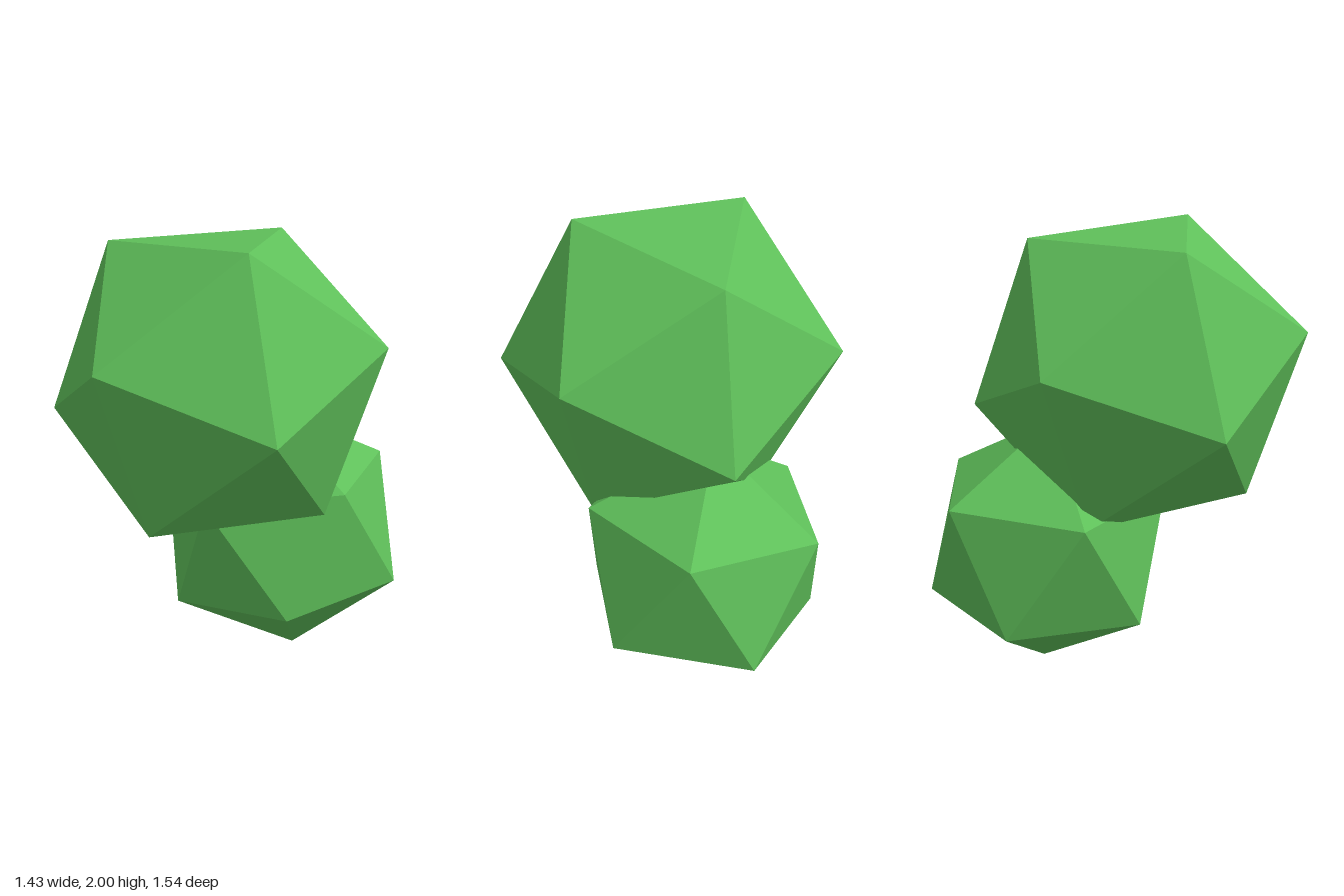
import * as THREE from 'three';

const green = new THREE.MeshStandardMaterial({ color: 0x5fc05a, flatShading: true });

// Regular icosahedron turned so that two neighbouring corners point along a and b
function foliageClump(name, radius, centre, a, b) {
  const xAxis = a.clone().normalize().sub(b.clone().normalize()).normalize();
  const yAxis = a.clone().normalize().add(b.clone().normalize()).normalize();
  const zAxis = new THREE.Vector3().crossVectors(xAxis, yAxis);
  const mesh = new THREE.Mesh(new THREE.IcosahedronGeometry(radius, 0), green);
  mesh.name = name;
  mesh.quaternion.setFromRotationMatrix(new THREE.Matrix4().makeBasis(xAxis, yAxis, zAxis));
  mesh.position.copy(centre);
  return mesh;
}

export function createModel() {
  const v = (x, y, z) => new THREE.Vector3(x, y, z);
  const group = new THREE.Group();
  group.name = 'foliage';

  // Large clump on top
  group.add(foliageClump('upperClump', 0.746, v(0, 1.372, 0.098),
    v(0.245, 0.628, 0.317), v(-0.48, 0.568, 0.022)));

  // Smaller clump tucked below and behind
  group.add(foliageClump('lowerClump', 0.579, v(0.17, 0.578, -0.278),
    v(0.07, -0.575, 0), v(0.545, -0.2, 0)));

  return group;
}
